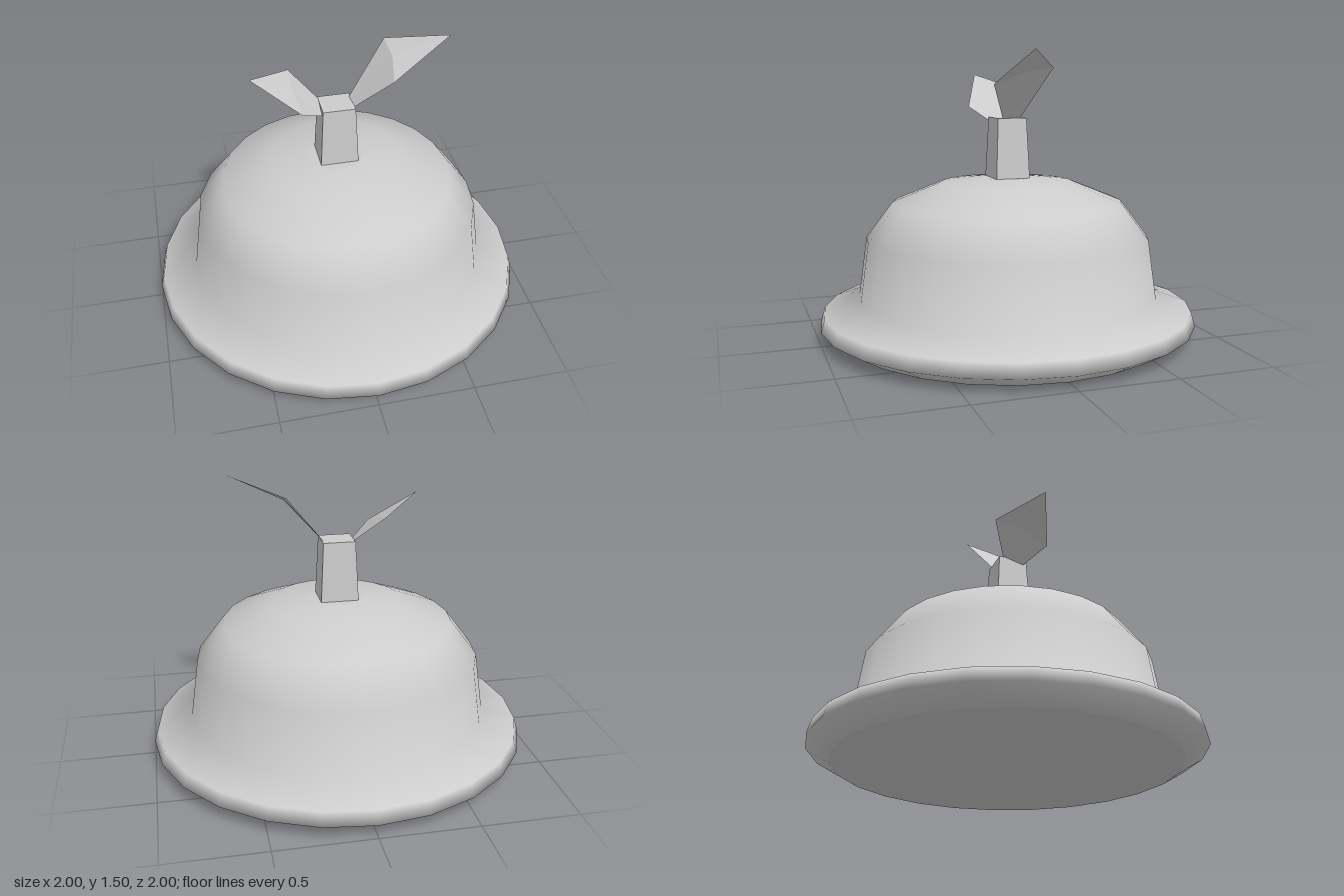
import * as THREE from 'three';

const V = (x, y) => new THREE.Vector2(x, y);

export function createModel() {
  const model = new THREE.Group();
  const grey = new THREE.MeshStandardMaterial({ color: 0xcccccc, side: THREE.DoubleSide });
  const add = (name, geometry) => {
    const mesh = new THREE.Mesh(geometry, grey);
    mesh.name = name;
    model.add(mesh);
    return mesh;
  };

  // Smooth brim and dome, with flat discs closing both ends
  const SIDES = 24;
  add('bellBody', new THREE.LatheGeometry([
    V(0.88, 0), V(1, 0.07), V(0.98, 0.14), V(0.795, 0.205),
    V(0.75, 0.52), V(0.61, 0.705), V(0.35, 0.81), V(0.14, 0.835),
  ], SIDES));
  add('underside', new THREE.LatheGeometry([V(0, 0), V(0.88, 0)], SIDES));
  add('domeCap', new THREE.LatheGeometry([V(0.14, 0.835), V(0, 0.835)], SIDES));

  // Square stem, tapering upward
  const stem = new THREE.BoxGeometry(0.2, 0.34, 0.184);
  const p = stem.attributes.position;
  for (let i = 0; i < p.count; i++) {
    if (p.getY(i) > 0) p.setXYZ(i, p.getX(i) * 0.84, p.getY(i), p.getZ(i) * 0.84);
  }
  stem.translate(0, 0.98, 0);
  stem.computeVertexNormals();
  add('stem', stem);

  // Thin leaf folded about its centre: two base corners, two side corners, tip
  const leaf = (name, baseBack, baseFront, back, front, centre, tip) => {
    const rim = [baseBack, baseFront, front, tip, back];
    const flat = [];
    rim.forEach((corner, i) => flat.push(...centre, ...corner, ...rim[(i + 1) % rim.length]));
    const g = new THREE.BufferGeometry();
    g.setAttribute('position', new THREE.Float32BufferAttribute(flat, 3));
    // Mirrored leaf needs its corner order reversed so that it faces up
    if (tip[0] < 0) {
      const a = g.attributes.position.array;
      for (let i = 0; i < a.length; i += 9) {
        for (let k = 3; k < 6; k++) [a[i + k], a[i + k + 3]] = [a[i + k + 3], a[i + k]];
      }
    }
    g.computeVertexNormals();
    add(name, g);
  };
  leaf('leftLeaf', [0.075, 1.15, -0.045], [0.08, 1.145, 0.05],
    [0.28, 1.41, -0.15], [0.255, 1.33, 0.155], [0.285, 1.385, 0], [0.565, 1.5, 0.05]);
  leaf('rightLeaf', [-0.08, 1.15, -0.055], [-0.085, 1.12, 0.06],
    [-0.22, 1.285, -0.15], [-0.2, 1.2, 0.155], [-0.225, 1.255, 0], [-0.44, 1.37, 0.05]);

  return model;
}
